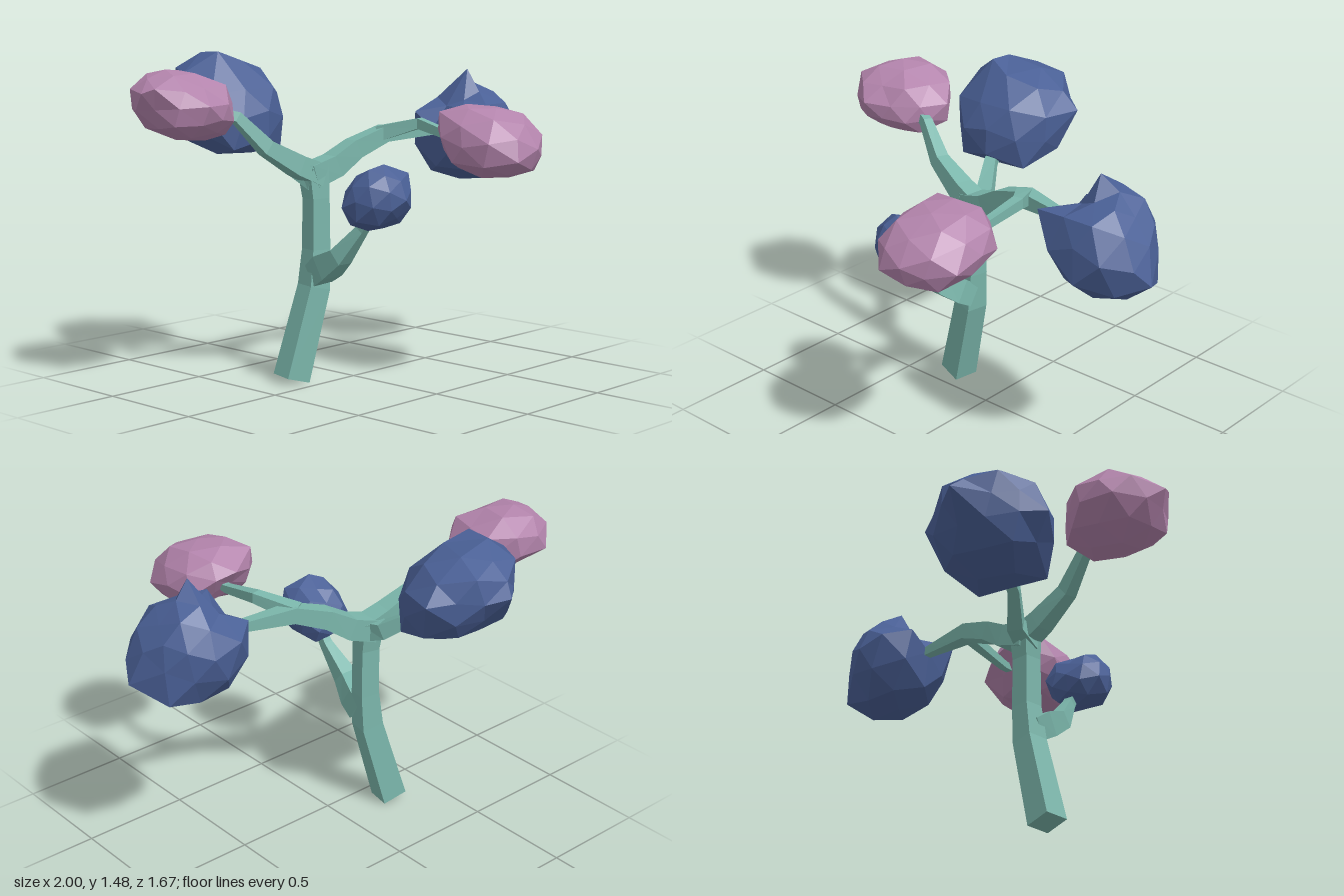
import * as THREE from 'three';
import { mergeVertices } from 'three/addons/utils/BufferGeometryUtils.js';

const V = (x, y, z) => new THREE.Vector3(x, y, z);
const flat = (color) => new THREE.MeshStandardMaterial({ color, flatShading: true });

function seeded(seed) {
  let s = seed;
  return () => (s = (s * 16807) % 2147483647) / 2147483647;
}

// Square-section limb swept through [x, y, z, half-width] stations
function limb(stations, ref) {
  const pts = stations.map(([x, y, z]) => V(x, y, z));
  const pos = [], idx = [], last = pts.length - 1;
  pts.forEach((p, i) => {
    const t = pts[Math.min(i + 1, last)].clone().sub(pts[Math.max(i - 1, 0)]).normalize();
    const u = ref.clone().addScaledVector(t, -ref.dot(t)).normalize();
    const v = t.clone().cross(u);
    for (const [a, b] of [[1, 1], [-1, 1], [-1, -1], [1, -1]]) {
      const r = stations[i][3];
      pos.push(...p.clone().addScaledVector(u, a * r).addScaledVector(v, b * r).toArray());
    }
    if (i < last) for (let j = 0; j < 4; j++) {
      const a = i * 4 + j, b = i * 4 + (j + 1) % 4;
      idx.push(a, b, b + 4, a, b + 4, a + 4);
    }
  });
  const e = last * 4;
  idx.push(0, 2, 1, 0, 3, 2, e, e + 1, e + 2, e, e + 2, e + 3);
  const g = new THREE.BufferGeometry();
  g.setAttribute('position', new THREE.Float32BufferAttribute(pos, 3));
  g.setIndex(idx);
  const out = g.toNonIndexed();
  out.computeVertexNormals();
  return out;
}

// How far the offset (dx, dy) from (cx, cy) can be scaled before it leaves the outline
function reach(outline, cx, cy, dx, dy) {
  let best = Infinity;
  outline.forEach(([ax, ay], i) => {
    const [bx, by] = outline[(i + 1) % outline.length];
    const ex = bx - ax, ey = by - ay, px = ax - cx, py = ay - cy;
    const det = dx * ey - dy * ex;
    const s = (px * ey - py * ex) / det, t = (px * dy - py * dx) / det;
    if (s > 0 && t >= 0 && t <= 1) best = Math.min(best, s);
  });
  return best;
}

// Faceted foliage: jittered, tilted ball carved by its front (x, y), side (z, y) and top (x, z) outlines
function clump({ front, side, top, flatness, tilt, seed, tips }) {
  const base = new THREE.IcosahedronGeometry(1, 1);
  base.deleteAttribute('normal');
  base.deleteAttribute('uv');
  const g = mergeVertices(base, 1e-3);
  const rnd = seeded(seed), p = g.attributes.position, v = V(0, 0, 0);
  g.rotateX(rnd() * 6);
  g.rotateY(rnd() * 6);
  for (let i = 0; i < p.count; i++) {
    v.fromBufferAttribute(p, i).multiplyScalar(0.95 + 0.1 * rnd());
    p.setXYZ(i, v.x, v.y * flatness, v.z);
  }
  g.rotateX(tilt[0]);
  g.rotateZ(tilt[1]);
  g.computeBoundingBox();
  const ball = g.boundingBox, mid = ball.getCenter(V(0, 0, 0)), span = ball.getSize(V(0, 0, 0));
  const box = new THREE.Box3();
  front.forEach(([x, y], i) => box.expandByPoint(V(x, y, top[i % top.length][1])));
  top.forEach(([x, z]) => box.expandByPoint(V(x, front[0][1], z)));
  const c = box.getCenter(V(0, 0, 0)), size = box.getSize(V(0, 0, 0));
  const verts = [];
  for (let i = 0; i < p.count; i++) {
    const d = V(0, 0, 0).fromBufferAttribute(p, i).sub(mid).divide(span).multiply(size).multiplyScalar(1.1);
    d.multiplyScalar(Math.min(1, reach(front, c.x, c.y, d.x, d.y),
      reach(side, c.z, c.y, d.z, d.y), reach(top, c.x, c.z, d.x, d.z)));
    verts.push(d.add(c));
  }
  // Sharp corners take the nearest vertex
  for (const tip of tips) {
    const target = V(...tip);
    verts.reduce((a, b) => (a.distanceTo(target) < b.distanceTo(target) ? a : b)).copy(target);
  }
  verts.forEach((q, i) => p.setXYZ(i, q.x, q.y, q.z));
  const out = g.toNonIndexed();
  out.computeVertexNormals();
  return out;
}

export function createModel() {
  const model = new THREE.Group();
  const bark = flat(0x7ab5aa), blue = flat(0x4a6096), pink = flat(0xb384ac);
  const add = (name, geometry, material) => {
    const mesh = new THREE.Mesh(geometry, material);
    mesh.name = name;
    model.add(mesh);
  };

  // Trunk and branches
  const across = V(1, 0, 0), up = V(0, 1, 0);
  add('trunk', limb([
    [-0.28, 0.02, -0.12, 0.06], [-0.17, 0.43, -0.085, 0.053],
    [-0.155, 0.6, -0.085, 0.046], [-0.155, 0.83, -0.085, 0.044], [-0.16, 0.98, -0.1, 0.052],
  ], V(0.98, 0, 0.2)), bark);
  add('frontBranch', limb([
    [-0.165, 0.49, -0.06, 0.052], [-0.18, 0.535, 0.01, 0.057], [-0.2, 0.59, 0.11, 0.04],
    [-0.18, 0.72, 0.22, 0.022], [-0.18, 0.83, 0.3, 0.018],
  ], across), bark);
  add('outerBranch', limb([
    [-0.13, 0.93, -0.09, 0.05], [-0.25, 0.98, -0.11, 0.045], [-0.41, 1.07, -0.14, 0.033],
    [-0.54, 1.21, -0.19, 0.023], [-0.64, 1.24, -0.23, 0.018],
  ], V(0.5, 1, 0)), bark);
  add('backBranch', limb([
    [-0.16, 0.92, -0.07, 0.05], [-0.17, 0.955, -0.19, 0.036],
    [-0.25, 1.05, -0.32, 0.026], [-0.28, 1.14, -0.45, 0.02],
  ], up), bark);
  add('innerBranch', limb([
    [-0.18, 0.93, -0.1, 0.053], [-0.05, 0.97, -0.08, 0.05], [0.06, 1.04, -0.055, 0.043],
    [0.22, 1.1, -0.02, 0.037], [0.5, 1.1, 0.035, 0.02], [0.6, 1.1, 0.05, 0.018],
  ], up), bark);
  add('forwardTwig', limb([
    [0.2, 1.1, -0.03, 0.035], [0.3, 1.15, 0.13, 0.024], [0.28, 1.1, 0.36, 0.018], [0.27, 1.1, 0.46, 0.015],
  ], up), bark);

  // Foliage clumps
  add('frontFoliage', clump({
    front: [[-0.35, 0.84], [-0.28, 0.99], [-0.2, 1.02], [-0.09, 1], [-0.02, 0.88], [-0.06, 0.8], [-0.16, 0.71], [-0.32, 0.77]],
    side: [[0.48, 0.9], [0.365, 1.02], [0.24, 0.96], [0.16, 0.82], [0.24, 0.71], [0.38, 0.75], [0.45, 0.83]],
    top: [[-0.18, 0.15], [-0.05, 0.22], [-0.01, 0.35], [-0.14, 0.47], [-0.29, 0.43], [-0.34, 0.32], [-0.33, 0.22]],
    flatness: 0.8, tilt: [-0.3, 0], seed: 11, tips: [[-0.2, 1.02, 0.365]],
  }), blue);
  add('backFoliage', clump({
    front: [[-0.53, 1.38], [-0.38, 1.48], [-0.17, 1.44], [0, 1.31], [0.01, 1.24], [-0.09, 1], [-0.4, 1], [-0.57, 1.23]],
    side: [[-0.26, 1.21], [-0.48, 1.48], [-0.66, 1.47], [-0.84, 1.31], [-0.64, 1.08], [-0.46, 1], [-0.29, 1.05]],
    top: [[-0.28, -0.84], [0.01, -0.63], [0, -0.52], [-0.1, -0.34], [-0.32, -0.26], [-0.48, -0.33], [-0.575, -0.53], [-0.5, -0.65]],
    flatness: 0.72, tilt: [0.5, -0.1], seed: 23,
    tips: [[-0.38, 1.48, -0.48], [-0.28, 1.31, -0.84], [-0.575, 1.24, -0.53], [0.01, 1.28, -0.63]],
  }), blue);
  add('innerFoliage', clump({
    front: [[0.48, 1.2], [0.62, 1.21], [0.7, 1.38], [0.84, 1.26], [0.99, 1.07], [1, 0.93], [0.87, 0.84], [0.72, 0.84], [0.52, 0.92]],
    side: [[0.24, 1.23], [0.17, 1.22], [0.08, 1.38], [-0.09, 1.27], [-0.2, 1.1], [-0.13, 0.92], [-0.02, 0.84], [0.14, 0.85], [0.3, 0.91], [0.3, 1.07]],
    top: [[0.7, -0.2], [0.83, -0.12], [0.91, -0.06], [0.99, 0.11], [0.92, 0.28], [0.62, 0.3], [0.47, 0.2], [0.5, 0], [0.51, -0.13]],
    flatness: 0.9, tilt: [0, -0.25], seed: 37, tips: [[0.7, 1.38, 0.08], [0.49, 1.21, 0.23], [1, 0.97, 0.11]],
  }), blue);
  add('outerFoliage', clump({
    front: [[-1, 1.34], [-0.84, 1.43], [-0.68, 1.41], [-0.51, 1.29], [-0.54, 1.15], [-0.75, 1.1], [-0.92, 1.18]],
    side: [[-0.04, 1.28], [-0.21, 1.4], [-0.37, 1.43], [-0.5, 1.38], [-0.5, 1.22], [-0.25, 1.1], [-0.1, 1.17]],
    top: [[-0.88, -0.5], [-0.69, -0.49], [-0.53, -0.37], [-0.51, -0.28], [-0.6, -0.13], [-0.76, -0.04], [-0.88, -0.07], [-1, -0.21], [-1, -0.33]],
    flatness: 0.6, tilt: [0.2, -0.22], seed: 41, tips: [[-1, 1.33, -0.27]],
  }), pink);
  add('forwardFoliage', clump({
    front: [[0.03, 1.14], [0.09, 1.24], [0.23, 1.26], [0.4, 1.24], [0.48, 1.09], [0.42, 0.98], [0.23, 0.94], [0.09, 0.96], [0.04, 1.03]],
    side: [[0.835, 1.07], [0.77, 1.18], [0.61, 1.25], [0.45, 1.26], [0.33, 1.18], [0.47, 0.99], [0.655, 0.94], [0.82, 1]],
    top: [[0.25, 0.32], [0.06, 0.42], [0.03, 0.64], [0.07, 0.78], [0.14, 0.82], [0.28, 0.83], [0.47, 0.71], [0.48, 0.59], [0.44, 0.4]],
    flatness: 0.6, tilt: [0.25, 0], seed: 53, tips: [[0.25, 1.18, 0.33]],
  }), pink);

  return model;
}
